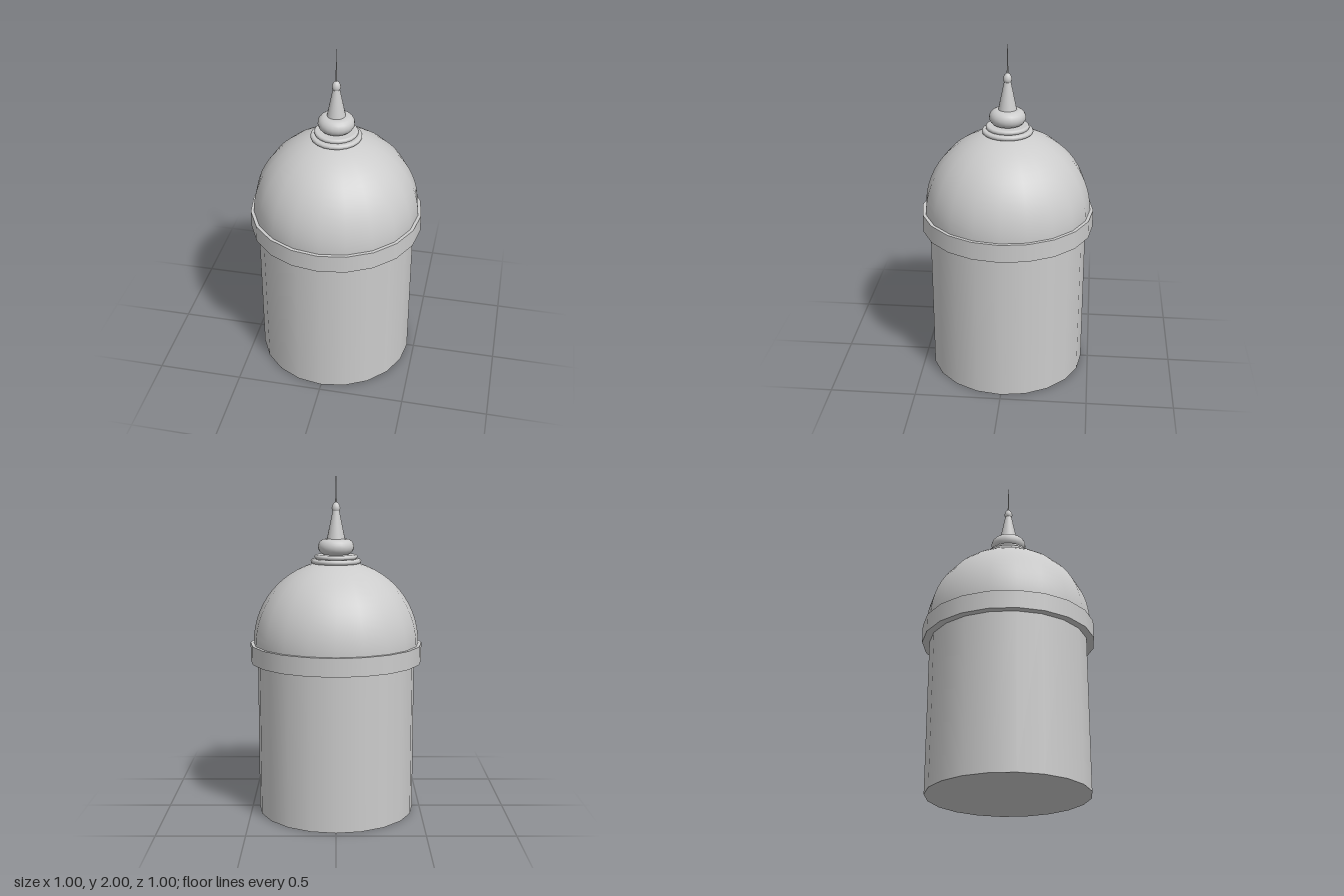
import * as THREE from 'three';

const SIDES = 20;
const material = new THREE.MeshStandardMaterial({ color: 0xcccccc, side: THREE.DoubleSide });

export function createModel() {
  const group = new THREE.Group();

  const add = (name, geometry, y) => {
    const mesh = new THREE.Mesh(geometry, material);
    mesh.name = name;
    mesh.position.y = y;
    group.add(mesh);
  };

  // Cylinders are placed by their bottom and top heights
  const drum = (name, rTop, rBottom, y0, y1, sides = SIDES) =>
    add(name, new THREE.CylinderGeometry(rTop, rBottom, y1 - y0, sides), (y0 + y1) / 2);

  // Disc with a half-round rim, closed at the axis above and below
  const roundedDisc = (name, radius, y0, y1) => {
    const h = (y1 - y0) / 2;
    const points = [new THREE.Vector2(0, -h)];
    for (let i = 0; i <= 10; i++) {
      const a = -Math.PI / 2 + (Math.PI * i) / 10;
      points.push(new THREE.Vector2(radius - h + h * Math.cos(a), h * Math.sin(a)));
    }
    points.push(new THREE.Vector2(0, h));
    add(name, new THREE.LatheGeometry(points, SIDES), (y0 + y1) / 2);
  };

  // Tower body and projecting band
  drum('towerBody', 0.458, 0.458, 0, 0.9);
  drum('corniceBand', 0.5, 0.5, 0.895, 1.0);

  // Hemispherical roof
  add('dome', new THREE.SphereGeometry(0.481, SIDES, 16, 0, Math.PI * 2, 0, Math.PI / 2), 1.0);

  // Stepped rings and bulb at the crown
  roundedDisc('lowerRing', 0.146, 1.462, 1.49);
  roundedDisc('upperRing', 0.124, 1.488, 1.514);
  roundedDisc('finialBulb', 0.104, 1.512, 1.604);

  // Tapering spire with a small knob and needle
  drum('spire', 0.018, 0.053, 1.6, 1.77);
  const knob = [[0.016, 1.755], [0.022, 1.766], [0.025, 1.778], [0.022, 1.792], [0.016, 1.804], [0.008, 1.811], [0, 1.813]]
    .map(([r, y]) => new THREE.Vector2(r, y));
  add('spireKnob', new THREE.LatheGeometry(knob, SIDES), 0);
  drum('needle', 0.0005, 0.005, 1.8, 2.0, 8);

  return group;
}
